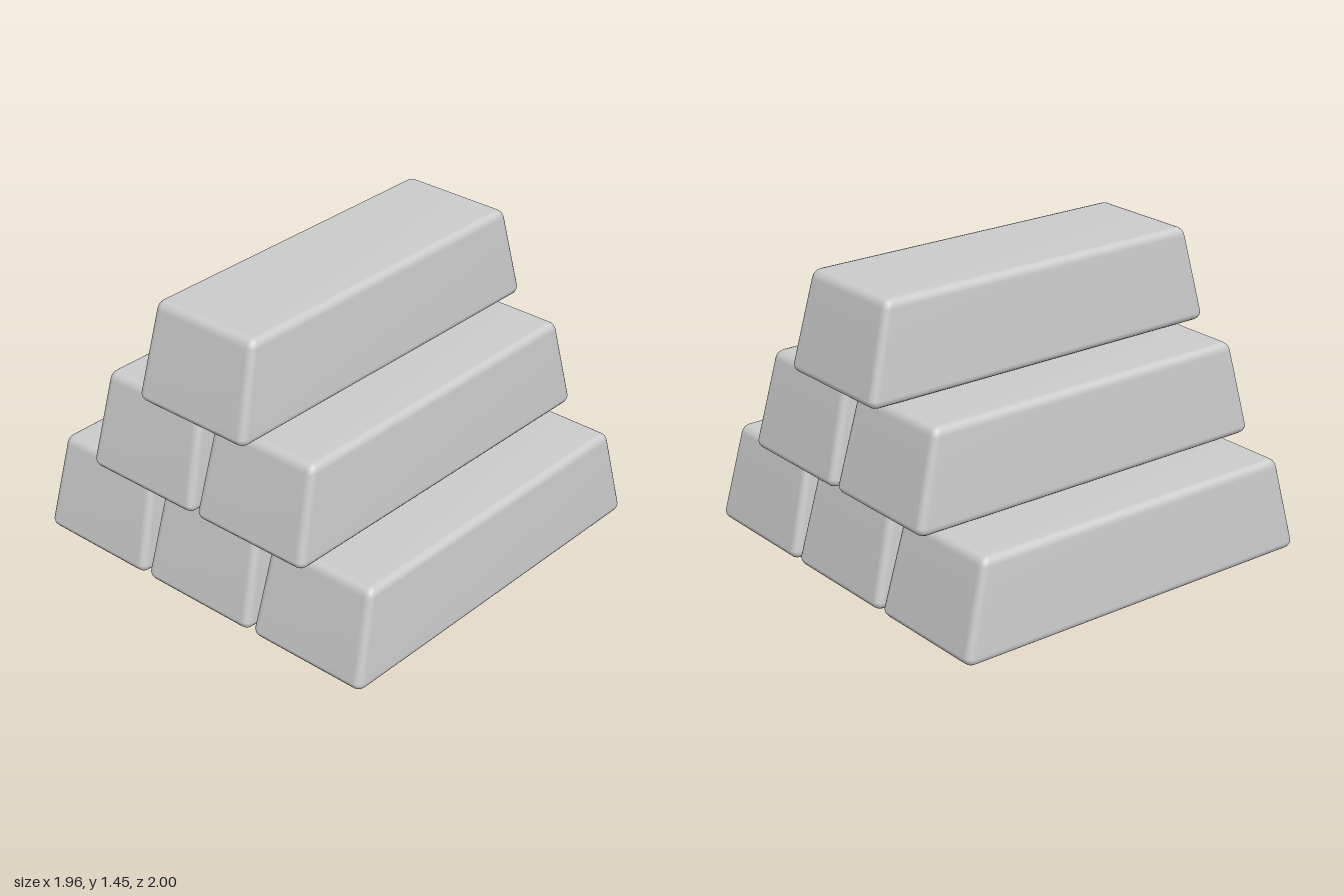
import * as THREE from 'three';
import { RoundedBoxGeometry } from 'three/addons/geometries/RoundedBoxGeometry.js';
import { mergeVertices } from 'three/addons/utils/BufferGeometryUtils.js';

const LENGTH = 1.96, HEIGHT = 0.482, DEPTH = 0.65, RADIUS = 0.042;
const ROW_PITCH = 0.486, BAR_PITCH = 0.675;

// Rounded ingot standing on y = 0, its ends and sides leaning inwards
function barGeometry() {
  const box = new RoundedBoxGeometry(LENGTH, HEIGHT, DEPTH, 2, RADIUS);
  box.translate(0, HEIGHT / 2, 0);
  box.deleteAttribute('normal');
  box.deleteAttribute('uv');
  box.clearGroups();
  const geometry = mergeVertices(box, 1e-4);
  const p = geometry.attributes.position;
  for (let i = 0; i < p.count; i++) {
    const rise = Math.max(0, p.getY(i) - RADIUS);
    p.setX(i, p.getX(i) * (1 - 0.245 * rise / (LENGTH / 2)));
    p.setZ(i, p.getZ(i) * (1 - 0.07 * rise / (DEPTH / 2)));
  }
  geometry.computeVertexNormals();
  return geometry;
}

export function createModel() {
  const model = new THREE.Group();
  model.name = 'barStack';
  const geometry = barGeometry();
  const material = new THREE.MeshStandardMaterial({ color: 0xcccccc });

  // Pyramid of three, two and one bars
  for (let row = 0; row < 3; row++) {
    const count = 3 - row;
    for (let i = 0; i < count; i++) {
      const bar = new THREE.Mesh(geometry, material);
      bar.name = `barRow${row + 1}Number${i + 1}`;
      bar.position.set(0, row * ROW_PITCH, (i - (count - 1) / 2) * BAR_PITCH);
      model.add(bar);
    }
  }
  return model;
}
